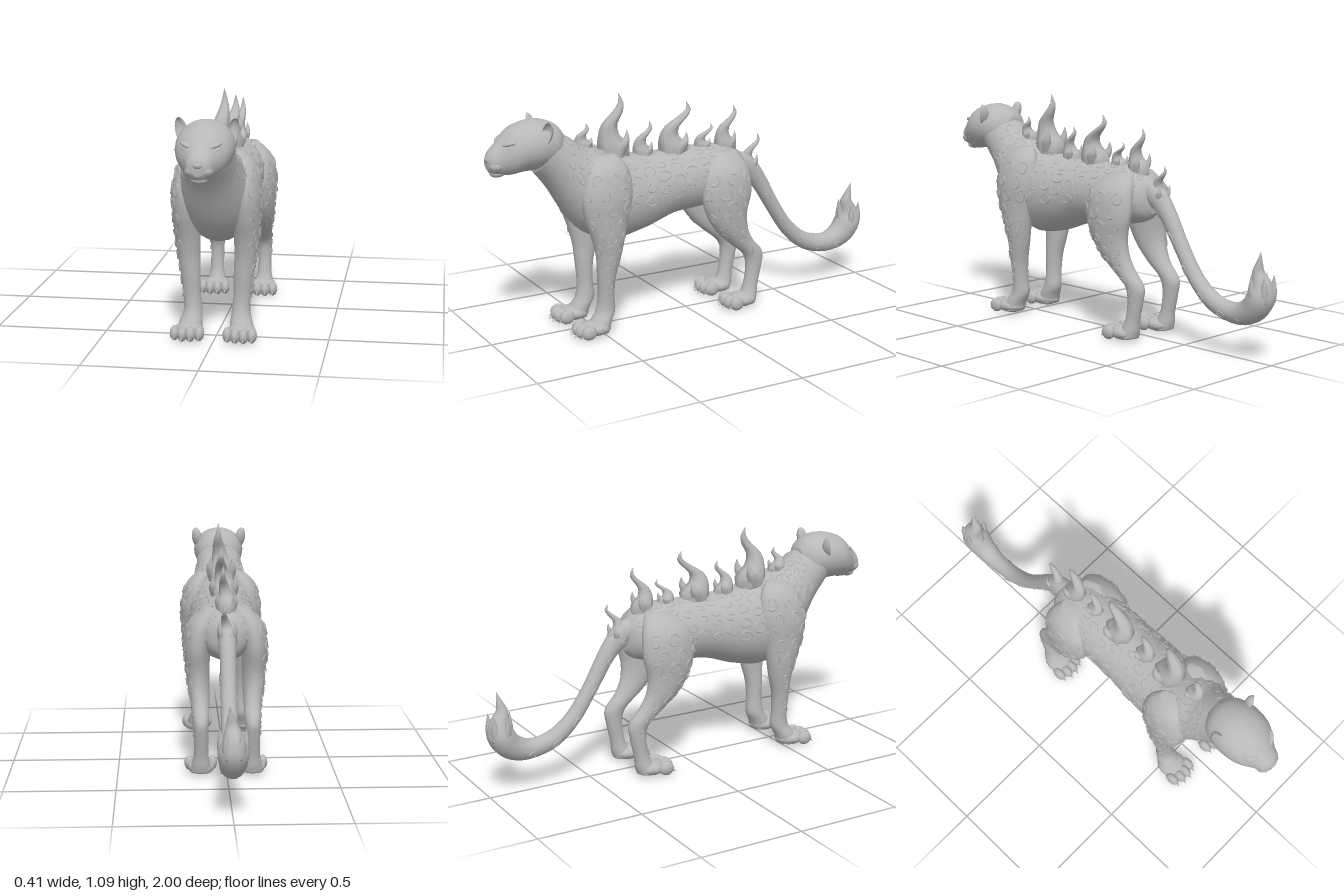
import * as THREE from 'three';

const grey = new THREE.MeshStandardMaterial({ color: 0xb8b8b8, side: THREE.DoubleSide });
grey.name = 'stone grey';

function add(parent, name, geometry) {
  const m = new THREE.Mesh(geometry, grey);
  m.name = name;
  parent.add(m);
  return m;
}

// Squashed ball used for paws, toes and face details
function ball(parent, name, p, r, rot = [0, 0, 0]) {
  const m = add(parent, name, new THREE.SphereGeometry(1, 12, 8));
  m.position.set(...p);
  m.scale.set(...r);
  m.rotation.set(...rot);
  return m;
}

// Smooth surface through elliptical sections [x, y, z, halfWidth, halfHeight, tilt in degrees].
// Without a tilt, a section stands square to the path. Returns a point sampler at(t, angle, lift).
function surface(sections) {
  const n = sections.length - 1;
  const rows = sections.map((s, i) => {
    const a = sections[Math.max(i - 1, 0)], b = sections[Math.min(i + 1, n)];
    const tilt = s[5] === undefined ? Math.atan2(a[1] - b[1], b[2] - a[2]) : s[5] * Math.PI / 180;
    return [...s.slice(0, 5), Math.cos(tilt), Math.sin(tilt)];
  });
  return (t, ang, lift = 0) => {
    const f = Math.min(Math.max(t, 0), 1) * n, i = Math.min(Math.floor(f), n - 1), k = f - i;
    const v = rows[0].map((_, c) => {
      const [p0, p1, p2, p3] = [i - 1, i, i + 1, i + 2].map(j => rows[Math.min(Math.max(j, 0), n)][c]);
      return p1 + 0.5 * k * (p2 - p0 + k * (2 * p0 - 5 * p1 + 4 * p2 - p3 + k * (3 * (p1 - p2) + p3 - p0)));
    });
    const len = Math.hypot(v[5], v[6]) || 1;
    const rw = Math.max(v[3], 0.001) + lift, rh = (Math.max(v[4], 0.001) + lift) * Math.sin(ang) / len;
    return [v[0] + rw * Math.cos(ang), v[1] + rh * v[5], v[2] + rh * v[6]];
  };
}

function loft(at, rings, sides) {
  const pos = [], idx = [];
  for (let i = 0; i <= rings; i++)
    for (let j = 0; j < sides; j++) pos.push(...at(i / rings, j / sides * Math.PI * 2));
  for (let i = 0; i < rings; i++)
    for (let j = 0; j < sides; j++) {
      const a = i * sides + j, b = i * sides + (j + 1) % sides;
      idx.push(a, b, b + sides, a, b + sides, a + sides);
    }
  for (let j = 1; j < sides - 1; j++) {
    const e = rings * sides;
    idx.push(0, j + 1, j, e, e + j, e + j + 1);
  }
  const g = new THREE.BufferGeometry();
  g.setAttribute('position', new THREE.Float32BufferAttribute(pos, 3));
  g.setIndex(idx);
  g.computeVertexNormals();
  return g;
}

// Seeded numbers for the spots
let seed = 7;
const rnd = () => (seed = (seed * 16807) % 2147483647) / 2147483647;

// Raised open-ring spot lying on a surface
function spot(parent, at, t, ang, r, length, radius) {
  const pos = [], idx = [], n = 10, start = rnd() * 6, sweep = 3.5 + rnd() * 2;
  for (let i = 0; i <= n; i++) {
    const b = start + sweep * i / n;
    [[0.62, -0.002], [0.8, 0.005], [1, -0.002]].forEach(([k, lift]) =>
      pos.push(...at(t + r * k * Math.cos(b) / length, ang + r * k * 0.8 * Math.sin(b) / radius, lift)));
  }
  for (let i = 0; i < n; i++)
    for (let j = 0; j < 2; j++) {
      const a = i * 3 + j;
      idx.push(a, a + 1, a + 4, a, a + 4, a + 3);
    }
  const g = new THREE.BufferGeometry();
  g.setAttribute('position', new THREE.Float32BufferAttribute(pos, 3));
  g.setIndex(idx);
  g.computeVertexNormals();
  add(parent, 'spot', g);
}

// Curling flame from its base to its tip
function flame(parent, z, y, tipZ, tipY, r) {
  const h = tipY - y, d = tipZ - z, x = 0.015;
  const g = new THREE.Group();
  g.name = 'flame';
  parent.add(g);
  const tongue = (name, rows) => add(g, name, loft(surface(rows), 12, 7));
  tongue('flameCore', [
    [0, y - 0.04, z, r * 0.75, r * 0.9, -90], [0, y + h * 0.1, z, r * 0.85, r, -90],
    [0, y + h * 0.3, z + r * 0.3, r * 0.6, r * 0.65, -90], [x * 0.5, y + h * 0.5, z + r * 0.35 + d * 0.2, r * 0.45, r * 0.48, -90],
    [x, y + h * 0.68, z + d * 0.6, r * 0.3, r * 0.34, -90], [x, y + h * 0.84, tipZ - r * 0.15, r * 0.15, r * 0.17, -90],
    [x, tipY, tipZ, 0.001, 0.001, -90]]);
  for (const s of [-1, 1])
    tongue('flameLick', [
      [s * r * 0.4, y - 0.02, z, r * 0.35, r * 0.45, -90], [s * r * 0.65, y + h * 0.15, z - r * 0.3, r * 0.3, r * 0.35, -90],
      [s * r * 0.7, y + h * 0.28, z - r * 0.5, r * 0.14, r * 0.16, -90], [s * r * 0.65, y + h * 0.4, z - r * 0.55, 0.001, 0.001, -90]]);
}

function paw(parent, x, z) {
  ball(parent, 'paw', [x, 0.035, z - 0.035], [0.066, 0.035, 0.075]);
  [-0.054, -0.018, 0.018, 0.054].forEach((dx, i) => {
    const tz = z + (i % 3 ? 0.035 : 0.02);
    ball(parent, 'toe', [x + dx, 0.034, tz], [0.022, 0.033, 0.037]);
    const claw = add(parent, 'claw', new THREE.ConeGeometry(0.008, 0.035, 6));
    claw.position.set(x + dx, 0.02, tz + 0.036);
    claw.rotation.x = 2.3;
  });
}

export function createModel() {
  const model = new THREE.Group();
  model.name = 'flameCat';

  // Torso and neck, from rump to skull
  const torso = surface([
    [0, 0.64, -0.31, 0.035, 0.06, 0], [0, 0.645, -0.275, 0.09, 0.1, 0], [0, 0.65, -0.19, 0.13, 0.13, 0],
    [0, 0.645, -0.05, 0.145, 0.145, 0], [0, 0.637, 0.1, 0.148, 0.15, 0], [0, 0.615, 0.25, 0.157, 0.178, 0],
    [0, 0.615, 0.4, 0.165, 0.205, 0], [0, 0.65, 0.5, 0.165, 0.21, 0], [0, 0.695, 0.575, 0.145, 0.185, -6],
    [0, 0.8, 0.66, 0.118, 0.13, -18], [0, 0.88, 0.74, 0.11, 0.105, -25]]);
  add(model, 'torso', loft(torso, 50, 24));
  for (let i = 0; i < 17; i++)
    for (let j = 0; j < 4; j++)
      for (const s of [0, 1]) {
        const a = -0.15 + j * 0.4 + (i % 2) * 0.2 + rnd() * 0.1;
        spot(model, torso, 0.12 + i * 0.048, s ? Math.PI - a : a, 0.02 + rnd() * 0.012, 1.2, 0.15);
      }

  // Head
  const head = new THREE.Group();
  head.name = 'head';
  model.add(head);
  add(head, 'skull', loft(surface([
    [0, 0.9, 0.64, 0.05, 0.05, 0], [0, 0.897, 0.68, 0.1, 0.092, 0], [0, 0.9, 0.76, 0.124, 0.113, 0],
    [0, 0.893, 0.84, 0.12, 0.107, 0], [0, 0.878, 0.89, 0.1, 0.1, 0], [0, 0.856, 0.94, 0.065, 0.074, 0],
    [0, 0.845, 0.975, 0.05, 0.052, 0], [0, 0.843, 0.992, 0.025, 0.03, 0]]), 28, 22));
  ball(head, 'nose', [0, 0.857, 0.982], [0.024, 0.016, 0.018]);
  ball(head, 'chin', [0, 0.792, 0.945], [0.035, 0.02, 0.035]);
  for (const s of [-1, 1]) {
    ball(head, 'muzzlePad', [s * 0.026, 0.83, 0.955], [0.034, 0.028, 0.036]);
    ball(head, 'eye', [s * 0.062, 0.907, 0.911], [0.024, 0.01, 0.012], [0, s * 0.7, s * 0.2]);
    ball(head, 'brow', [s * 0.06, 0.927, 0.91], [0.036, 0.01, 0.014], [0, s * 0.7, s * 0.25]);
    // Cupped ear
    const ear = add(head, 'ear', new THREE.SphereGeometry(1, 14, 8, Math.PI, Math.PI));
    ear.scale.set(0.026, 0.052, 0.035);
    ear.position.set(s * 0.113, 0.965, 0.755);
    ear.rotation.set(-0.1, s * 0.5, -s * 0.2);
  }

  // Legs with paws
  const foreRows = [
    [0.085, 0.83, 0.46, 0.03, 0.05], [0.115, 0.77, 0.465, 0.058, 0.1], [0.133, 0.66, 0.475, 0.066, 0.125],
    [0.135, 0.55, 0.48, 0.06, 0.105], [0.132, 0.45, 0.473, 0.057, 0.078], [0.126, 0.36, 0.472, 0.05, 0.058],
    [0.118, 0.27, 0.48, 0.044, 0.043], [0.112, 0.18, 0.48, 0.039, 0.038], [0.108, 0.11, 0.483, 0.042, 0.046],
    [0.114, 0.06, 0.51, 0.052, 0.05], [0.117, 0.015, 0.525, 0.055, 0.05]];
  const hindRows = [
    [0.06, 0.765, -0.17, 0.04, 0.06], [0.108, 0.69, -0.15, 0.065, 0.12], [0.13, 0.58, -0.148, 0.062, 0.132],
    [0.13, 0.48, -0.15, 0.056, 0.108], [0.126, 0.4, -0.178, 0.05, 0.085], [0.12, 0.33, -0.23, 0.042, 0.066],
    [0.118, 0.26, -0.3, 0.036, 0.053], [0.118, 0.19, -0.306, 0.033, 0.04], [0.118, 0.1, -0.29, 0.034, 0.036],
    [0.118, 0.05, -0.275, 0.045, 0.045], [0.118, 0.015, -0.265, 0.05, 0.045]];
  for (const s of [-1, 1])
    for (const [name, rows, toeZ] of [['foreLeg', foreRows, 0.575], ['hindLeg', hindRows, -0.205]]) {
      const leg = new THREE.Group();
      leg.name = name;
      model.add(leg);
      const at = surface(rows.map(([x, ...r]) => [s * x, ...r, 90]));
      add(leg, name + 'Limb', loft(at, 40, 18));
      paw(leg, s * 0.117, toeZ);
      for (let i = 0; i < 10; i++)
        for (let j = -1; j <= 1; j++) {
          if (i > 5 && j) continue;
          const a = j * 0.75 + (i % 2) * 0.3;
          spot(leg, at, 0.13 + i * 0.062, s > 0 ? a : Math.PI - a, 0.018 + rnd() * 0.01, 0.85, i > 5 ? 0.05 : 0.08);
        }
    }

  // Tail sweeping down and up to a burning end
  const tail = surface([
    [0, 0.69, -0.24, 0.05, 0.05], [0, 0.665, -0.32, 0.045, 0.055], [0, 0.58, -0.4, 0.037, 0.042],
    [0, 0.44, -0.485, 0.036, 0.035], [0, 0.31, -0.575, 0.037, 0.036], [0, 0.225, -0.68, 0.04, 0.042],
    [0, 0.198, -0.8, 0.045, 0.048], [0, 0.228, -0.89, 0.058, 0.06], [0, 0.29, -0.938, 0.066, 0.062],
    [0, 0.35, -0.94, 0.045, 0.045], [0.005, 0.4, -0.925, 0.028, 0.028], [0.01, 0.445, -0.935, 0.014, 0.014],
    [0.015, 0.49, -0.945, 0.001, 0.001]]);
  add(model, 'tail', loft(tail, 48, 14));
  for (let i = 0; i < 12; i++) spot(model, tail, 0.1 + i * 0.04, i % 2 ? 0.3 : Math.PI - 0.3, 0.018, 1.1, 0.045);
  for (let i = 0; i < 5; i++) {
    const a = i * Math.PI * 0.4 + 0.3, c = Math.cos(a), d = Math.sin(a);
    add(model, 'tailFlame', loft(surface([
      [c * 0.035, 0.27, -0.94 + d * 0.035, 0.025, 0.025, -90], [c * 0.052, 0.32, -0.94 + d * 0.045, 0.018, 0.018, -90],
      [c * 0.058, 0.39, -0.94 + d * 0.05, 0.001, 0.001, -90]]), 8, 6));
  }

  // Flames along the spine: base z, base y, tip z, tip y, radius
  [[0.525, 0.86, 0.52, 0.965, 0.045], [0.375, 0.815, 0.355, 1.085, 0.078], [0.225, 0.785, 0.2, 0.94, 0.05],
    [0.065, 0.785, 0.005, 1.01, 0.075], [-0.09, 0.78, -0.125, 0.89, 0.042], [-0.215, 0.765, -0.25, 0.965, 0.055],
    [-0.35, 0.65, -0.385, 0.81, 0.045]].forEach(f => flame(model, ...f));
  return model;
}
